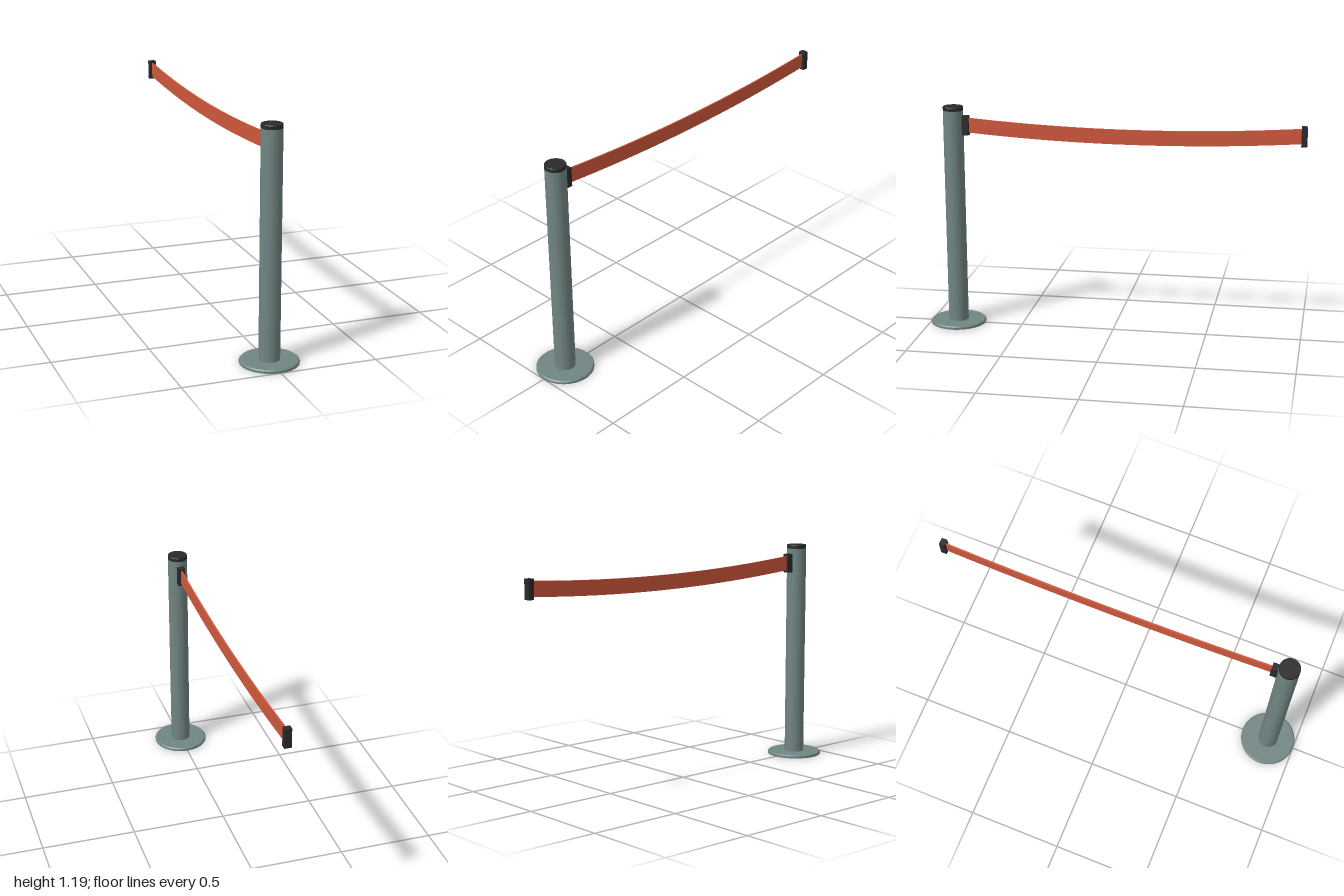
import * as THREE from 'three';

const POST_Z = 0.852;

export function createModel() {
  const model = new THREE.Group();
  model.name = 'beltBarrier';

  const material = (name, color) => {
    const m = new THREE.MeshStandardMaterial({ color });
    m.name = name;
    return m;
  };
  const steel = material('greySteel', 0x708583);
  const black = material('blackPlastic', 0x2a2a2a);
  const red = material('redWebbing', 0xd0583c);

  const add = (name, geometry, mat, x, y, z) => {
    const mesh = new THREE.Mesh(geometry, mat);
    mesh.name = name;
    mesh.position.set(x, y, z);
    model.add(mesh);
    return mesh;
  };

  // Solid of revolution with crisp edges: each profile segment has its own normals
  const turned = (name, profile, mat, y) => {
    const part = new THREE.Group();
    part.name = name;
    part.position.set(0, y, POST_Z);
    for (let i = 0; i < profile.length - 1; i++) {
      const pts = [profile[i], profile[i + 1]].map(([r, h]) => new THREE.Vector2(r, h));
      const mesh = new THREE.Mesh(new THREE.LatheGeometry(pts, 48), mat);
      mesh.name = name + 'Surface';
      part.add(mesh);
    }
    model.add(part);
  };

  // Floor plate with a small chamfer, post and top cap
  turned('basePlate', [[0, 0], [0.148, 0], [0.148, 0.011], [0.142, 0.017], [0, 0.017]], steel, 0);
  add('post', new THREE.CylinderGeometry(0.053, 0.053, 1.155, 48, 1, true), steel, 0, 0.5925, POST_Z);
  turned('topCap', [[0, 0], [0.053, 0], [0.053, 0.018], [0.051, 0.021], [0, 0.021]], black, 1.17);

  // Clips at both ends of the belt
  add('postClip', new THREE.BoxGeometry(0.036, 0.102, 0.045), black, 0, 1.091, 0.7895);
  add('endClip', new THREE.BoxGeometry(0.036, 0.102, 0.03), black, 0, 1.091, -0.985);

  // Belt that sags along a parabola between the clips
  const zFront = 0.775, zBack = -0.975, sag = 0.036;
  const length = zFront - zBack;
  const belt = new THREE.BoxGeometry(0.008, 0.078, length, 1, 1, 24);
  const p = belt.attributes.position;
  for (let i = 0; i < p.count; i++) {
    const t = p.getZ(i) / (length / 2);
    p.setY(i, p.getY(i) - sag * (1 - t * t));
  }
  belt.computeVertexNormals();
  add('belt', belt, red, 0, 1.092, (zFront + zBack) / 2);

  return model;
}
